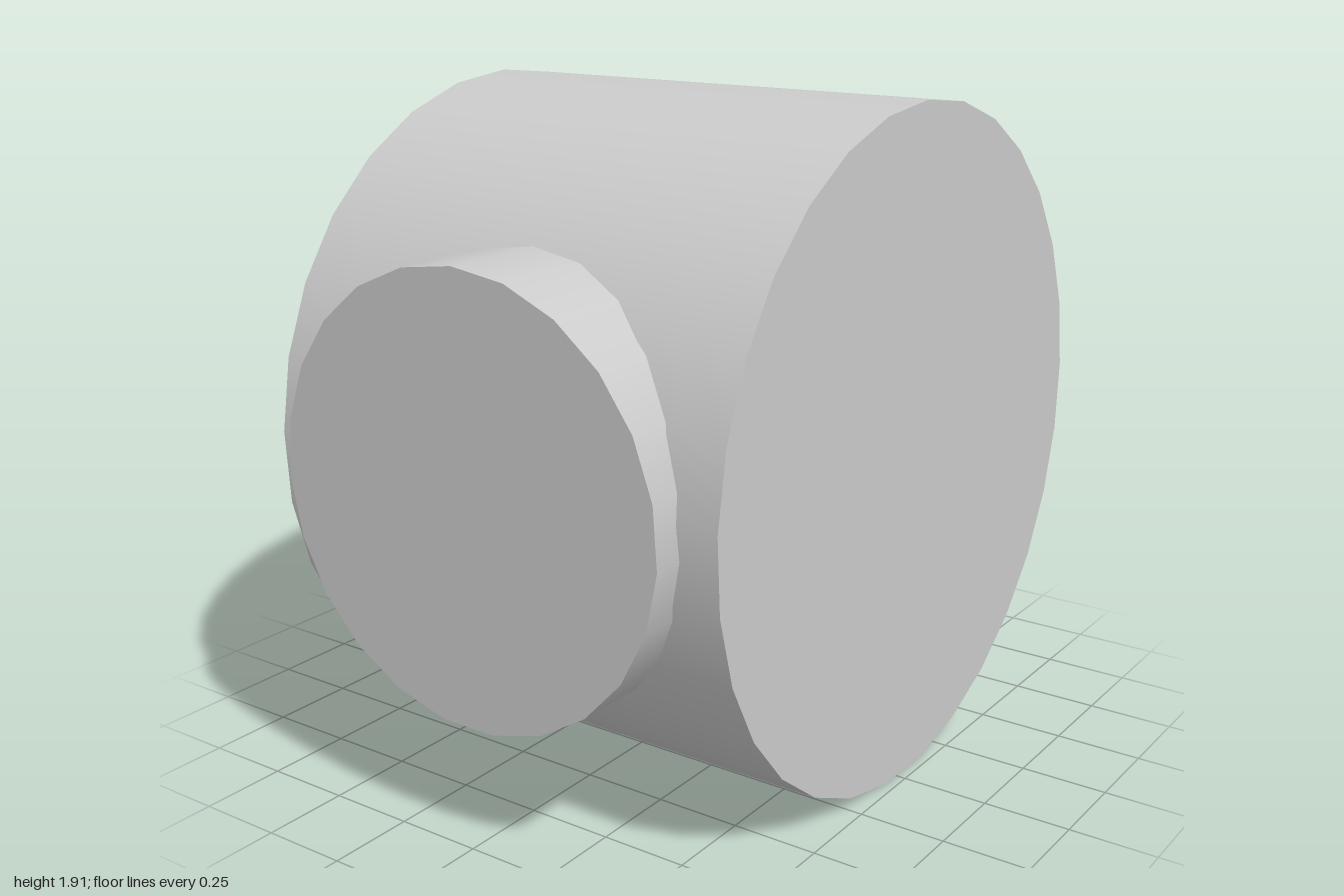
import * as THREE from 'three';

// Capped cylinder lying along z, with one corner of its outline pointing straight up
function lyingCylinder(radius, length, sides) {
  return new THREE.CylinderGeometry(radius, radius, length, sides).rotateX(-Math.PI / 2);
}

export function createModel() {
  const group = new THREE.Group();
  const material = new THREE.MeshStandardMaterial({ color: 0xcccccc });

  // Wide drum lying across x
  const drum = new THREE.Mesh(lyingCylinder(0.96, 1.44, 29).rotateY(Math.PI / 2), material);
  drum.name = 'drum';
  drum.position.set(0, 0.954, -0.043);
  group.add(drum);

  // Shorter round stub passing out through the front of the drum
  const back = 0, front = 1;
  const stub = new THREE.Mesh(lyingCylinder(0.61, front - back, 23), material);
  stub.name = 'frontStub';
  stub.position.set(0, 0.958, (front + back) / 2);
  group.add(stub);

  return group;
}
